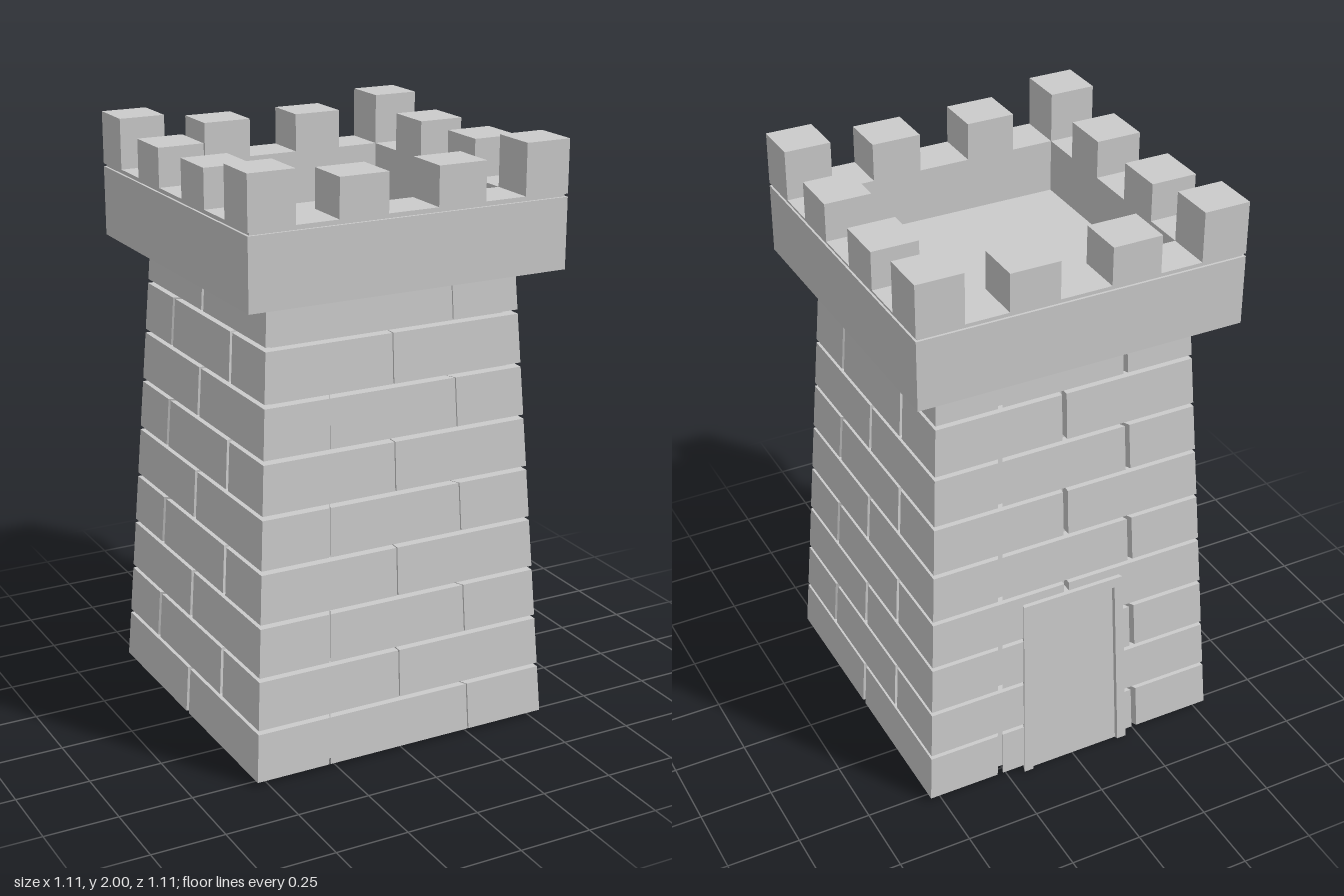
import * as THREE from 'three';
import { mergeGeometries } from 'three/addons/utils/BufferGeometryUtils.js';

const BASE = 0.015, WALL_TOP = 1.59, ROWS = 9, PITCH = 0.1775, GAP = 0.014, DEPTH = 0.035;
const half = (y) => 0.538 - 0.0605 * (y - BASE); // battered wall: half width at height y

const grey = new THREE.MeshStandardMaterial({ color: 0xcccccc, flatShading: true });
const shell = new THREE.MeshStandardMaterial({ color: 0xcccccc, flatShading: true, side: THREE.DoubleSide });

// Point on the front wall: f runs -1..1 across it, d is the inset behind the surface
const wallPoint = (f, y, d) => [f * (half(y) - d), y, half(y) - d];

// Block following the sloped wall, with only the listed faces
function wallBlock(f0, f1, y0, y1, d0, d1, faces) {
  const c = [];
  for (const d of [d0, d1]) {
    c.push(wallPoint(f0, y0, d), wallPoint(f1, y0, d), wallPoint(f1, y1, d), wallPoint(f0, y1, d));
  }
  const quads = {
    outer: [0, 1, 2, 3], inner: [5, 4, 7, 6], left: [4, 0, 3, 7],
    right: [1, 5, 6, 2], top: [3, 2, 6, 7], bottom: [4, 5, 1, 0],
  };
  const pos = [];
  for (const name of faces) {
    const [a, b, e, g] = quads[name];
    for (const i of [a, b, e, a, e, g]) pos.push(...c[i]);
  }
  const geo = new THREE.BufferGeometry();
  geo.setAttribute('position', new THREE.Float32BufferAttribute(pos, 3));
  geo.computeVertexNormals();
  return geo;
}

// One side of the hollow tower: raised bricks with recessed mortar between them
function wallSide(side) {
  const bricks = [], mortar = [];
  const joint = side === 0 ? 0.004 : 0.018;
  for (let row = 0; row < ROWS; row++) {
    const y0 = BASE + row * PITCH;
    const y1 = row === ROWS - 1 ? WALL_TOP : y0 + PITCH - GAP;
    const centres = (row + side) % 2 === 0 ? [-0.515, 0.465] : [-0.022];
    let start = -1;
    for (const f of [...centres, null]) {
      const end = f === null ? 1 : f - joint;
      const faces = ['outer', 'top'];
      if (row > 0) faces.push('bottom');
      if (start > -1) faces.push('left');
      if (end < 1) faces.push('right');
      bricks.push(wallBlock(start, end, y0, y1, 0, DEPTH, faces));
      if (f !== null) {
        mortar.push(wallBlock(end, f + joint, y0, y1, DEPTH, DEPTH + 0.01, ['outer']));
        start = f + joint;
      }
    }
    if (row < ROWS - 1) mortar.push(wallBlock(-1, 1, y1, y0 + PITCH, DEPTH, DEPTH + 0.01, ['outer']));
  }
  const g = new THREE.Group();
  g.name = 'wallSide';
  g.rotation.y = side * Math.PI / 2;
  addMesh(g, 'bricks', mergeGeometries(bricks), shell);
  addMesh(g, 'mortar', mergeGeometries(mortar), shell);
  return g;
}

function addMesh(parent, name, geo, mat = grey) {
  const m = new THREE.Mesh(geo, mat);
  m.name = name;
  parent.add(m);
  return m;
}

function addBox(parent, name, w, y0, y1, d, x = 0, z = 0) {
  addMesh(parent, name, new THREE.BoxGeometry(w, y1 - y0, d)).position.set(x, (y0 + y1) / 2, z);
}

// Square ring lying flat between two heights
function addRing(parent, name, outer, inner, y0, y1) {
  const square = (r) => [[-r, -r], [r, -r], [r, r], [-r, r]].map(([x, y]) => new THREE.Vector2(x, y));
  const shape = new THREE.Shape(square(outer));
  shape.holes.push(new THREE.Path(square(inner).reverse()));
  const geo = new THREE.ExtrudeGeometry(shape, { depth: y1 - y0, bevelEnabled: false });
  geo.rotateX(-Math.PI / 2);
  addMesh(parent, name, geo).position.y = y0;
}

export function createModel() {
  const tower = new THREE.Group();
  tower.name = 'tower';

  // Brick walls
  for (let side = 0; side < 4; side++) tower.add(wallSide(side));

  // Door on the back wall
  const door = new THREE.Group();
  door.name = 'door';
  door.rotation.y = Math.PI;
  const all = ['outer', 'inner', 'left', 'right', 'top', 'bottom'];
  const [l, r, w] = [-0.345, 0.375, 0.06];
  addMesh(door, 'doorPanel', wallBlock(l + w, r - w, 0, 0.645, -0.004, DEPTH, all));
  addMesh(door, 'doorPostLeft', wallBlock(l, l + w, 0, 0.68, -0.015, DEPTH, all));
  addMesh(door, 'doorPostRight', wallBlock(r - w, r, 0, 0.68, -0.015, DEPTH, all));
  addMesh(door, 'doorLintel', wallBlock(l + w, r - w, 0.645, 0.68, -0.015, DEPTH, all));
  tower.add(door);

  // Overhanging parapet with sunken floor and a narrow slit under its rim
  const R = 0.557, INNER = 0.4;
  const parapet = new THREE.Group();
  parapet.name = 'parapet';
  addBox(parapet, 'parapetFloor', 2 * R, 1.58, 1.65, 2 * R);
  addRing(parapet, 'parapetWall', R, INNER, 1.65, 1.815);
  addRing(parapet, 'parapetSlit', R - 0.008, INNER, 1.815, 1.825);
  addRing(parapet, 'parapetRim', R, INNER, 1.825, 1.832);
  tower.add(parapet);

  // Battlements: tall corners and two lower merlons per side
  const t = R - INNER, mid = (R + INNER) / 2;
  const battlements = new THREE.Group();
  battlements.name = 'battlements';
  for (let side = 0; side < 4; side++) {
    const g = new THREE.Group();
    g.name = 'battlementSide';
    g.rotation.y = side * Math.PI / 2;
    addBox(g, 'cornerMerlon', t, 1.832, 2, t, mid, mid);
    for (const s of [-1, 1]) addBox(g, 'merlon', 0.168, 1.832, 1.96, t, s * 0.171, mid);
    battlements.add(g);
  }
  tower.add(battlements);

  return tower;
}
